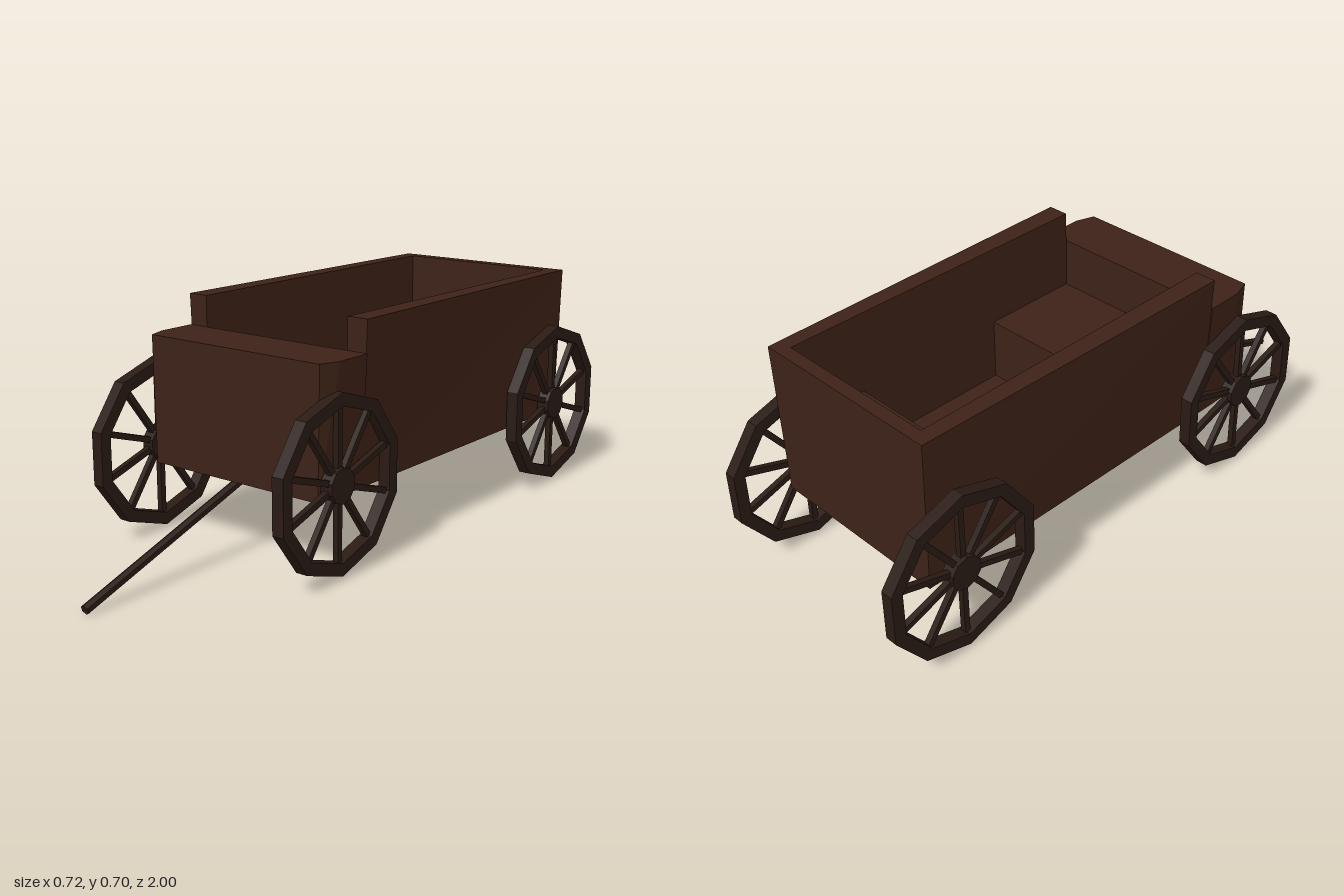
import * as THREE from 'three';

const wood = new THREE.MeshStandardMaterial({ color: 0x3d2217, flatShading: true });
const darkWood = new THREE.MeshStandardMaterial({ color: 0x2a1b14, flatShading: true });

function mesh(name, geometry, material) {
  const m = new THREE.Mesh(geometry, material);
  m.name = name;
  return m;
}

// Solid between two matching [x, z] outlines at heights y0 and y1
function loft(name, y0, bottom, y1, top) {
  const ring = bottom.map(([x, z]) => new THREE.Vector2(x, z));
  if (THREE.ShapeUtils.isClockWise(ring)) {
    ring.reverse();
    bottom = [...bottom].reverse();
    top = [...top].reverse();
  }
  const n = ring.length;
  const pos = [];
  bottom.forEach(([x, z]) => pos.push(x, y0, z));
  top.forEach(([x, z]) => pos.push(x, y1, z));
  const index = [];
  for (let i = 0; i < n; i++) {
    const j = (i + 1) % n;
    index.push(i, n + i, j, j, n + i, n + j);
  }
  for (const [a, b, c] of THREE.ShapeUtils.triangulateShape(ring, [])) {
    index.push(a, b, c, n + c, n + b, n + a);
  }
  const indexed = new THREE.BufferGeometry();
  indexed.setAttribute('position', new THREE.Float32BufferAttribute(pos, 3));
  indexed.setIndex(index);
  const g = indexed.toNonIndexed();
  g.computeVertexNormals();
  return mesh(name, g, wood);
}

const rect = (x0, x1, z0, z1) => [[x0, z0], [x1, z0], [x1, z1], [x0, z1]];

function polygon(radius, sides, Type) {
  const pts = [];
  for (let i = 0; i < sides; i++) {
    const a = Math.PI / 2 + (i * 2 * Math.PI) / sides;
    pts.push(new THREE.Vector2(Math.cos(a) * radius, Math.sin(a) * radius));
  }
  return new Type(pts);
}

function makeWheel(name, x, z) {
  const wheel = new THREE.Group();
  wheel.name = name;
  const sides = 10, width = 0.038;

  // Ten-sided rim
  const shape = polygon(0.26, sides, THREE.Shape);
  shape.holes.push(polygon(0.222, sides, THREE.Path));
  const rim = new THREE.ExtrudeGeometry(shape, { depth: width, bevelEnabled: false });
  rim.translate(0, 0, -width / 2);
  wheel.add(mesh('rim', rim, darkWood));

  // Hub
  const hub = new THREE.CylinderGeometry(0.052, 0.052, 0.04, sides);
  hub.rotateX(Math.PI / 2);
  wheel.add(mesh('hub', hub, darkWood));

  // Spokes run to the rim corners
  const spoke = new THREE.BoxGeometry(0.018, 0.2, 0.018);
  spoke.translate(0, 0.135, 0);
  for (let i = 0; i < sides; i++) {
    const s = mesh('spoke', spoke, darkWood);
    s.rotation.z = (i * 2 * Math.PI) / sides;
    wheel.add(s);
  }

  wheel.rotation.y = Math.PI / 2;
  wheel.position.set(x, 0.27, z);
  return wheel;
}

export function createModel() {
  const wagon = new THREE.Group();
  wagon.name = 'wagon';

  const base = 0.225;
  const inner = [[0.275, 0.27], [0.275, -0.79], [-0.255, -0.79], [-0.255, 0.27]];

  // U-shaped side and back walls, flared towards the top and the front
  wagon.add(loft('walls',
    base, [[-0.302, 0.27], [-0.29, -0.83], [0.312, -0.83], [0.322, 0.27], ...inner],
    0.705, [[-0.322, 0.27], [-0.303, -0.83], [0.323, -0.83], [0.343, 0.27], ...inner]));

  // Floor between the walls
  const floor = rect(-0.255, 0.275, -0.79, 0.27);
  wagon.add(loft('floor', base, floor, 0.25, floor));

  // Lower front block with cut corners
  wagon.add(loft('frontBlock',
    base, [[-0.302, 0.27], [-0.302, 0.39], [-0.296, 0.45], [0.316, 0.45], [0.322, 0.39], [0.322, 0.27]],
    0.61, [[-0.322, 0.27], [-0.322, 0.39], [-0.302, 0.45], [0.323, 0.45], [0.343, 0.39], [0.343, 0.27]]));

  // Benches inside, back and front
  for (const [name, z0, z1] of [['backBench', -0.79, -0.57], ['frontBench', -0.055, 0.27]]) {
    const outline = rect(-0.255, 0.275, z0, z1);
    wagon.add(loft(name, 0.25, outline, 0.45, outline));
  }

  // Wheels
  wagon.add(makeWheel('frontLeftWheel', 0.34, 0.395));
  wagon.add(makeWheel('frontRightWheel', -0.341, 0.395));
  wagon.add(makeWheel('backLeftWheel', 0.34, -0.753));
  wagon.add(makeWheel('backRightWheel', -0.333, -0.753));

  // Drawbar sloping down to the ground
  const from = new THREE.Vector3(-0.003, 0.235, 0.36);
  const to = new THREE.Vector3(-0.009, 0.015, 0.996);
  const dir = to.clone().sub(from);
  const bar = mesh('drawbar', new THREE.CylinderGeometry(0.0145, 0.0145, dir.length(), 6), darkWood);
  bar.position.copy(from).add(to).multiplyScalar(0.5);
  bar.quaternion.setFromUnitVectors(new THREE.Vector3(0, 1, 0), dir.normalize());
  wagon.add(bar);

  return wagon;
}
